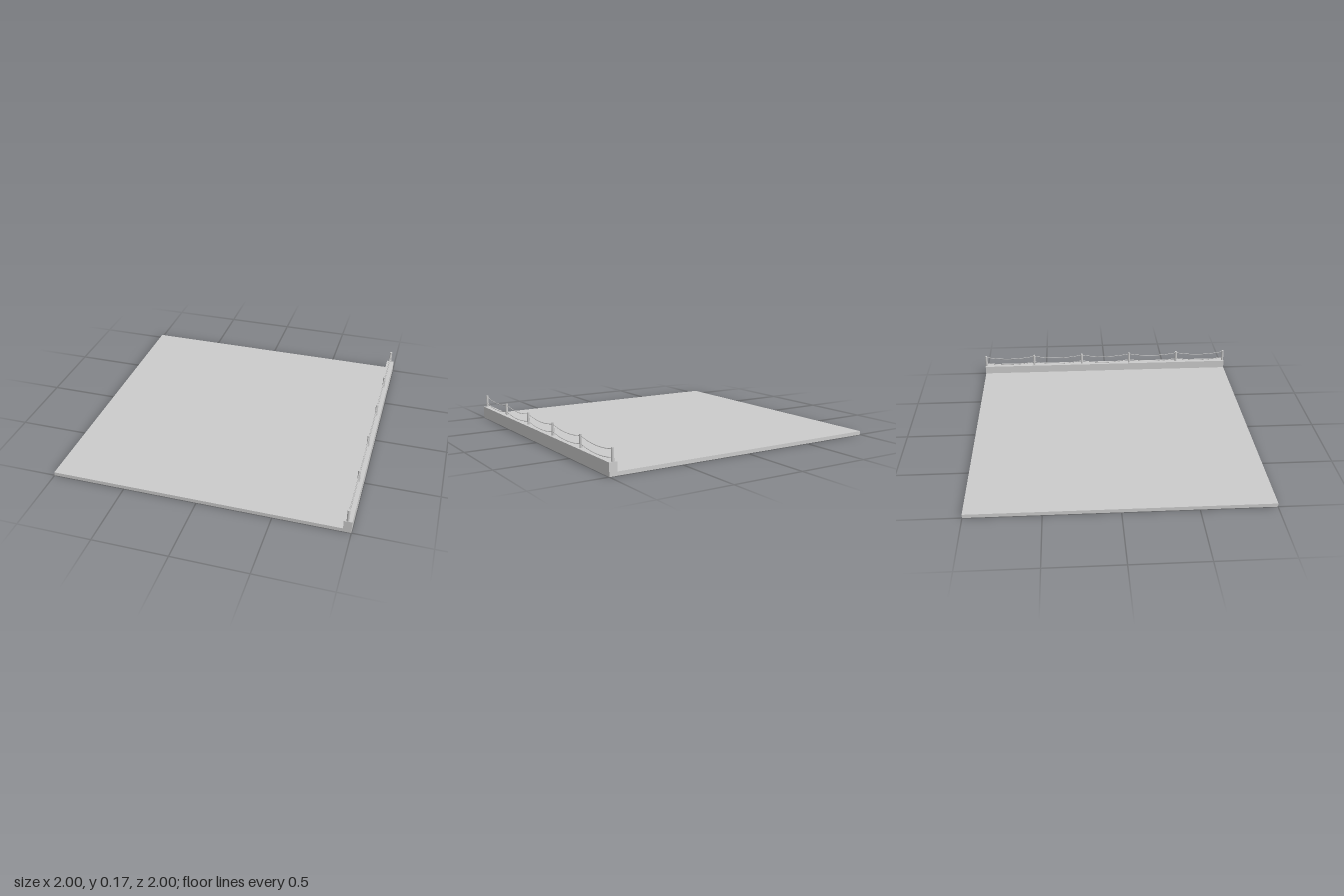
import * as THREE from 'three';

const material = new THREE.MeshStandardMaterial({ color: 0xcccccc });

function add(parent, name, geometry, x = 0, y = 0, z = 0) {
  const mesh = new THREE.Mesh(geometry, material);
  mesh.name = name;
  mesh.position.set(x, y, z);
  parent.add(mesh);
}

export function createModel() {
  const group = new THREE.Group();
  group.name = 'pavementWithRopeRailing';

  // Ground slab and the raised kerb along its left edge
  const slabTop = 0.025, kerbTop = 0.085, kerbWidth = 0.053;
  add(group, 'slab', new THREE.BoxGeometry(2 - kerbWidth, slabTop, 2), -kerbWidth / 2, slabTop / 2, 0);
  add(group, 'kerb', new THREE.BoxGeometry(kerbWidth, kerbTop, 2), 1 - kerbWidth / 2, kerbTop / 2, 0);

  // Evenly spaced posts standing on the kerb
  const railing = new THREE.Group();
  railing.name = 'railing';
  railing.position.x = 0.972;
  group.add(railing);
  const postTop = 0.17, postRadius = 0.009, bays = 5;
  const end = 1 - postRadius, span = 2 * end / bays;
  const postHeight = postTop - kerbTop;
  const postGeometry = new THREE.CylinderGeometry(postRadius, postRadius, postHeight, 12);
  for (let i = 0; i <= bays; i++) {
    add(railing, 'post', postGeometry, 0, kerbTop + postHeight / 2, -end + i * span);
  }

  // Two sagging ropes in every bay
  const sag = 0.02;
  const points = [];
  for (let i = 0; i <= 8; i++) {
    const t = i / 4 - 1;
    points.push(new THREE.Vector3(0, sag * (t * t - 1), t * span / 2));
  }
  const ropeGeometry = new THREE.TubeGeometry(new THREE.CatmullRomCurve3(points), 16, 0.0025, 6);
  for (let i = 0; i < bays; i++) {
    const z = -end + (i + 0.5) * span;
    add(railing, 'upperRope', ropeGeometry, 0, 0.16, z);
    add(railing, 'lowerRope', ropeGeometry, 0, 0.109, z);
  }
  return group;
}
